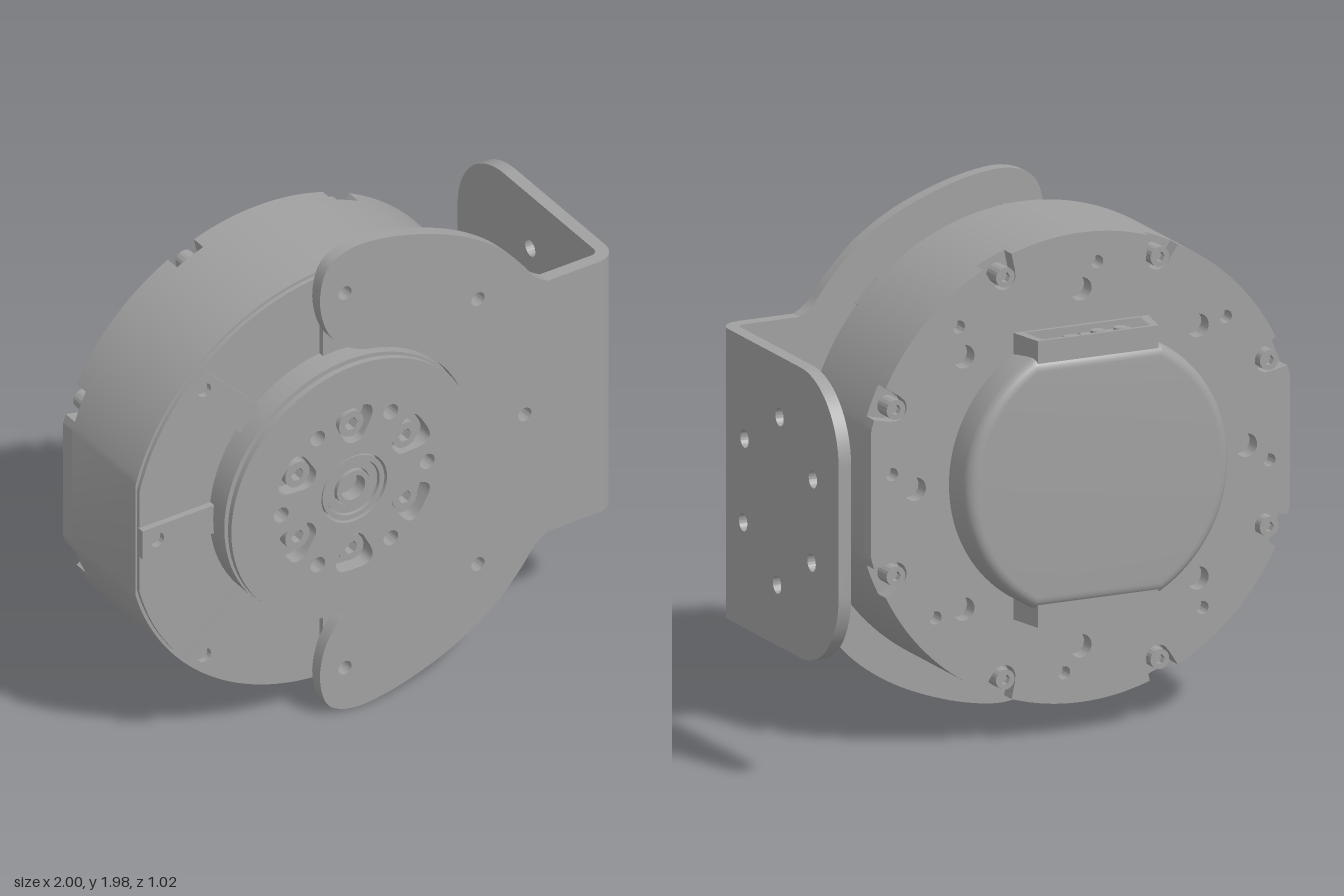
import * as THREE from 'three';
import { toCreasedNormals } from 'three/addons/utils/BufferGeometryUtils.js';

const CX = -0.165, CY = 0.995, R = 0.868, FLAT = 0.835;
const grey = new THREE.MeshStandardMaterial({ color: 0xa0a0a0 });
grey.name = 'metal grey';

function add(parent, name, geo, x = 0, y = 0, z = 0) {
  const m = new THREE.Mesh(geo, grey);
  m.name = name;
  m.position.set(x, y, z);
  parent.add(m);
  return m;
}
const polar = (r, deg) => [r * Math.cos(deg * Math.PI / 180), r * Math.sin(deg * Math.PI / 180)];
const hole = (x, y, r) => new THREE.Path().absarc(x, y, r, 0, Math.PI * 2, true);
const disc = (r) => new THREE.Shape().absarc(0, 0, r, 0, Math.PI * 2, false);
const times = (n, f) => Array.from({ length: n }, (_, i) => f(i));

// Extrude a shape between two z values
function slab(shape, z0, z1, opts = {}) {
  const g = new THREE.ExtrudeGeometry(shape, { depth: z1 - z0, bevelEnabled: false, curveSegments: 40, ...opts });
  g.translate(0, 0, z0);
  return toCreasedNormals(g, 0.5);
}
function rod(r, z0, z1, sides = 32) {
  return new THREE.CylinderGeometry(r, r, z1 - z0, sides).rotateX(Math.PI / 2).translate(0, 0, (z0 + z1) / 2);
}
// Round housing outline with flat left and right sides
function flatSided(r, flat) {
  const a = Math.acos(flat / r);
  return new THREE.Shape().absarc(0, 0, r, a, Math.PI - a, false)
    .absarc(0, 0, r, Math.PI + a, Math.PI * 2 - a, false);
}
// Same outline with eight screw notches in the rim
function notchedOutline() {
  return new THREE.Shape(times(720, (i) => {
    const deg = i / 2;
    const off = Math.abs((deg % 45) - 22.5);
    const edge = Math.min(R, FLAT / Math.abs(Math.cos(deg * Math.PI / 180)));
    const r = off <= 3.5 ? 0.805 - Math.sqrt(1 - (off / 3.5) ** 2) * 0.05 : edge;
    return new THREE.Vector2(...polar(r, deg));
  }));
}
// Socket screw: ring head with a hexagonal recess
function screw(parent, name, x, y, z0, z1, r) {
  const s = disc(r);
  s.holes.push(new THREE.Path(times(6, (i) => new THREE.Vector2(...polar(r * 0.52, -60 * i)))));
  add(parent, name, slab(s, z0, z1), x, y);
}

function buildHousing(motor) {
  add(motor, 'housing', slab(flatSided(R, FLAT), -0.05, 0.36));
  const front = flatSided(R - 0.012, FLAT - 0.006);
  add(motor, 'housingFront', slab(front, 0.36, 0.376));

  const rim = notchedOutline();
  for (let i = 0; i < 8; i++) {
    rim.holes.push(hole(...polar(0.66, 45 * i), 0.043));
    rim.holes.push(hole(...polar(0.755, 45 * i + 5), 0.024));
  }
  add(motor, 'housingBack', slab(rim, -0.11, -0.05));

  for (let i = 0; i < 8; i++) {
    // Radial mounting rib with a tapped hole near its outer end
    const outer = i % 4 === 0 ? 0.832 : 0.855;
    const rib = new THREE.Shape([[0.5, -0.06], [outer, -0.06], [outer, 0.06], [0.5, 0.06]]
      .map((p) => new THREE.Vector2(...p)));
    rib.holes.push(hole(i % 4 === 0 ? 0.768 : 0.803, 0, 0.028));
    add(motor, 'mountingRib', slab(rib, 0.37, 0.4)).rotation.z = i * Math.PI / 4;
    // Rim screw on the back
    const [x, y] = polar(0.805, 45 * i + 22.5);
    screw(motor, 'rimScrew', x, y, -0.125, -0.05, 0.037);
    add(motor, 'rimScrewCore', rod(0.03, -0.1, -0.05), x, y);
  }
}

function buildOutput(motor) {
  // Turning flange in three layers, with a groove round its side
  add(motor, 'flangeBase', rod(0.53, 0.36, 0.45, 96));
  const pocket = new THREE.CatmullRomCurve3([[0.205, -0.03], [0.24, -0.052], [0.3, -0.078], [0.335, -0.066],
    [0.345, 0], [0.335, 0.066], [0.3, 0.078], [0.24, 0.052], [0.205, 0.03], [0.197, 0]]
    .map(([x, y]) => new THREE.Vector3(x, y, 0)), true).getPoints(40).slice(0, -1);
  for (const [r, z0, z1] of [[0.53, 0.45, 0.472], [0.51, 0.472, 0.488], [0.525, 0.488, 0.51]]) {
    const s = disc(r);
    s.holes.push(hole(0, 0, 0.14));
    for (let i = 0; i < 6; i++) {
      const a = (30 + 60 * i) * Math.PI / 180;
      s.holes.push(new THREE.Path(pocket.map((p) =>
        new THREE.Vector2(p.x * Math.cos(a) - p.y * Math.sin(a), p.x * Math.sin(a) + p.y * Math.cos(a)))));
      s.holes.push(hole(...polar(0.312, 60 * i), 0.031));
    }
    add(motor, 'outputFlange', slab(s, z0, z1));
  }
  for (let i = 0; i < 6; i++) {
    const [x, y] = polar(0.265, 30 + 60 * i);
    screw(motor, 'flangeScrew', x, y, 0.45, 0.49, 0.052);
  }
  // Stepped bearing rings in the centre
  for (const [ro, ri, z] of [[0.132, 0.112, 0.505], [0.108, 0.075, 0.495], [0.07, 0.05, 0.505]]) {
    const s = disc(ro);
    s.holes.push(hole(0, 0, ri));
    add(motor, 'centreRing', slab(s, 0.445, z));
  }
}

function buildCover(motor) {
  // Rounded back cover, cut straight at top and bottom for the sockets
  const chord = (r, h) => {
    const a = Math.asin(h / r);
    return new THREE.Shape().absarc(0, 0, r, -a, a, false).absarc(0, 0, r, Math.PI - a, Math.PI + a, false);
  };
  add(motor, 'backCover', slab(chord(0.525, 0.46), -0.22, -0.1,
    { bevelEnabled: true, bevelThickness: 0.04, bevelSize: 0.04, bevelOffset: -0.04, bevelSegments: 5 }));
  for (const side of [1, -1]) {
    const socket = new THREE.Group();
    socket.name = 'connectorSocket';
    socket.rotation.z = side > 0 ? 0 : Math.PI;
    motor.add(socket);
    // Open arch around the connectors
    const arch = new THREE.Shape([[-0.27, 0.1], [-0.24, 0.25], [0.24, 0.25], [0.27, 0.1]]
      .map((p) => new THREE.Vector2(...p)));
    arch.holes.push(new THREE.Path([[-0.23, 0.125], [-0.215, 0.235], [0.215, 0.235], [0.23, 0.125]]
      .map((p) => new THREE.Vector2(...p))));
    const g = slab(arch, 0, 0.12).rotateX(Math.PI / 2);
    g.translate(0, 0.53, 0).scale(1, 1, -1);
    // Restore face order after mirroring in z
    const p = g.attributes.position, n = g.attributes.normal;
    for (const at of [p, n]) for (let i = 0; i < at.count; i += 3) {
      const b = [at.getX(i + 1), at.getY(i + 1), at.getZ(i + 1)];
      at.setXYZ(i + 1, at.getX(i + 2), at.getY(i + 2), at.getZ(i + 2));
      at.setXYZ(i + 2, ...b);
    }
    if (p.getZ(0) > 0) g.scale(1, 1, 1).rotateY(Math.PI);
    add(socket, 'connectorArch', g);
    add(socket, 'powerPlug', new THREE.BoxGeometry(0.2, 0.06, 0.08), -0.08, 0.475, -0.175);
    add(socket, 'signalPlug', new THREE.BoxGeometry(0.05, 0.06, 0.08), 0.06, 0.475, -0.175);
    for (const x of [-0.125, -0.035]) {
      add(socket, 'powerPin', new THREE.CylinderGeometry(0.025, 0.025, 0.02, 20), x, 0.51, -0.175);
    }
  }
}

function buildBracket(root) {
  // Front plate: crescent tips, smooth shoulder and a round opening
  const half = new THREE.SplineCurve([[0.7, 0.537], [0.645, 0.575], [0.58, 0.66], [0.46, 0.78], [0.3, 0.88],
    [0.1, 0.955], [-0.08, 0.988], [-0.19, 0.97], [-0.25, 0.915], [-0.272, 0.8], [-0.245, 0.675],
    [-0.18, 0.585], [-0.09, 0.535]].map((p) => new THREE.Vector2(...p))).getPoints(72);
  const open = times(49, (i) => {
    const [x, y] = polar(0.537, 78 - 156 * i / 48);
    return new THREE.Vector2(CX + x, y);
  });
  const lower = half.map((p) => new THREE.Vector2(p.x, -p.y)).reverse();
  const plate = new THREE.Shape([new THREE.Vector2(0.92, 0.537), ...half, ...open, ...lower,
    new THREE.Vector2(0.92, -0.537)]);
  for (const [r, deg] of [[0.803, 90], [0.803, 45], [0.768, 0], [0.803, -45], [0.803, -90]]) {
    const [x, y] = polar(r, deg);
    plate.holes.push(hole(CX + x, y, 0.028));
  }
  add(root, 'bracketPlate', slab(plate, 0.4, 0.45));

  // Rounded bend, drawn in x and -z and extruded upward
  const bend = new THREE.Shape().moveTo(0.92, -0.45).absarc(0.92, -0.37, 0.08, -Math.PI / 2, 0, false)
    .lineTo(0.95, -0.37).absarc(0.92, -0.37, 0.03, 0, -Math.PI / 2, true);
  add(root, 'bracketBend', slab(bend, -0.537, 0.537).rotateX(-Math.PI / 2));

  // Side plate, drawn in -z and y
  const side = new THREE.Shape().moveTo(-0.37, -0.537).lineTo(0.21, -0.537)
    .absarc(0.21, -0.237, 0.3, -Math.PI / 2, 0, false)
    .absarc(0.21, 0.237, 0.3, 0, Math.PI / 2, false).lineTo(-0.37, 0.537);
  for (const [z, y] of [[0.24, 0.163], [0.25, -0.148], [-0.04, 0.312], [-0.02, -0.312], [-0.305, 0.148], [-0.295, -0.163]]) {
    side.holes.push(hole(-z, y, 0.033));
  }
  add(root, 'bracketSide', slab(side, 0.95, 1).rotateY(Math.PI / 2));
}

export function createModel() {
  const model = new THREE.Group();
  model.name = 'actuatorWithBracket';
  const root = new THREE.Group();
  root.name = 'assembly';
  root.position.y = CY;
  model.add(root);
  const motor = new THREE.Group();
  motor.name = 'motor';
  motor.position.x = CX;
  root.add(motor);
  buildHousing(motor);
  buildOutput(motor);
  buildCover(motor);
  buildBracket(root);
  return model;
}
